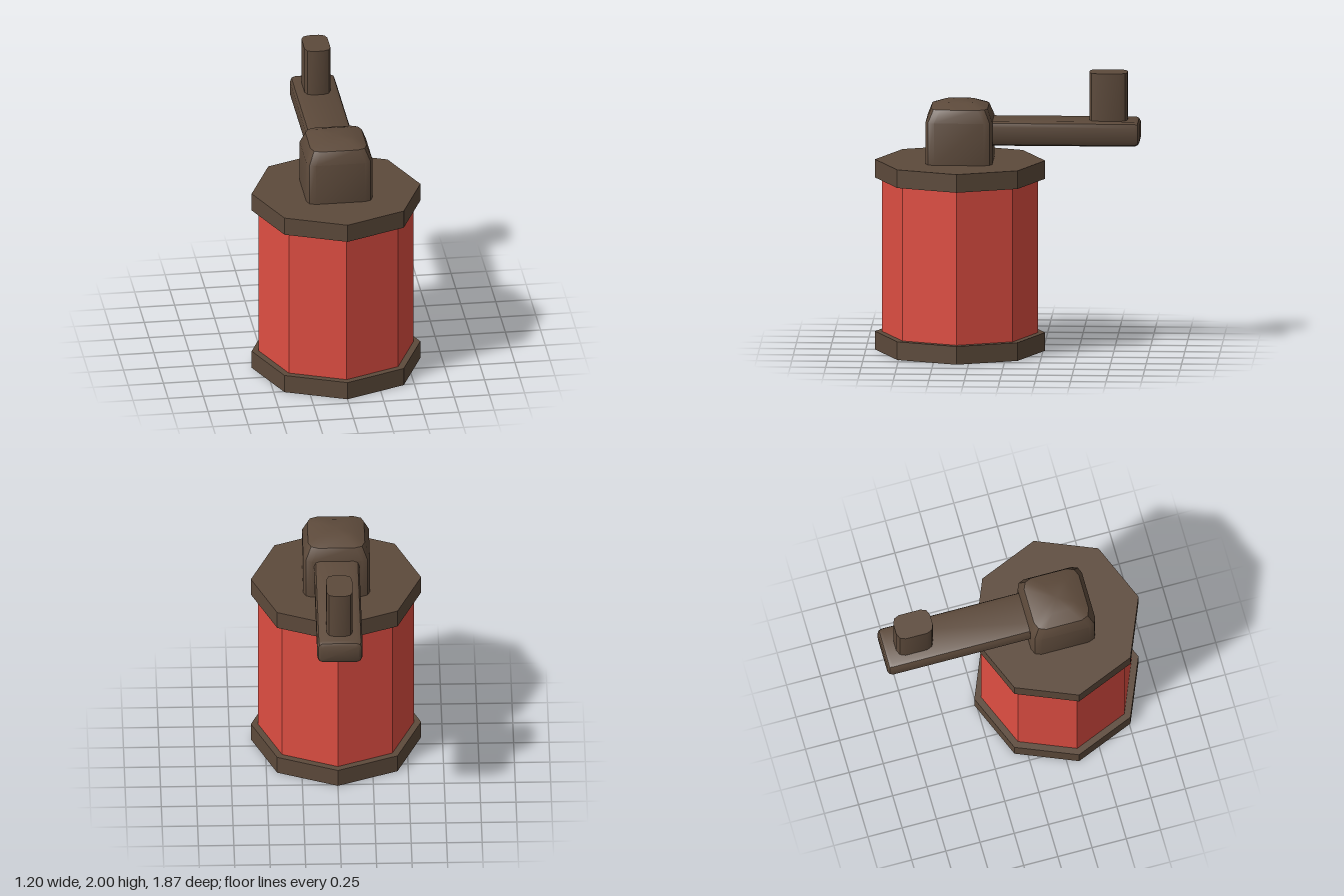
import * as THREE from 'three';
import { toCreasedNormals } from 'three/addons/utils/BufferGeometryUtils.js';

const brown = new THREE.MeshStandardMaterial({ color: 0x5d4a3b });
const red = new THREE.MeshStandardMaterial({ color: 0xdf4e42 });
const AXIS_Z = 0.335; // centre of the drum

// Stack of rounded rectangles along y; each level is [y, halfX, halfZ, cornerRadius]
function loft(levels) {
  const pos = [], idx = [], n = 12;
  for (const [y, hx, hz, r] of levels) {
    for (let k = 0; k < n; k++) {
      const q = Math.floor(k / 3);
      const a = (q + (k % 3) / 2) * Math.PI / 2;
      const sx = q === 0 || q === 3 ? 1 : -1, sz = q < 2 ? 1 : -1;
      pos.push(sx * (hx - r) + r * Math.cos(a), y, sz * (hz - r) + r * Math.sin(a));
    }
  }
  const last = (levels.length - 1) * n, bottom = levels.length * n, top = bottom + 1;
  pos.push(0, levels[0][0], 0, 0, levels[levels.length - 1][0], 0);
  for (let k = 0; k < n; k++) {
    const m = (k + 1) % n;
    for (let o = 0; o < last; o += n) {
      idx.push(o + k, o + n + k, o + m, o + m, o + n + k, o + n + m);
    }
    idx.push(bottom, k, m, top, last + m, last + k);
  }
  const g = new THREE.BufferGeometry();
  g.setAttribute('position', new THREE.Float32BufferAttribute(pos, 3));
  g.setIndex(idx);
  return toCreasedNormals(g, 0.6);
}

export function createModel() {
  const model = new THREE.Group();
  model.name = 'crankDrum';

  const add = (name, geometry, material, x, y, z) => {
    const mesh = new THREE.Mesh(geometry, material);
    mesh.name = name;
    mesh.position.set(x, y, z);
    model.add(mesh);
  };

  // Eight-sided drum with a wider plate at each end
  const drum = (name, r, y0, y1, material) => add(
    name, toCreasedNormals(new THREE.CylinderGeometry(r, r, y1 - y0, 8), 0.3),
    material, 0, (y0 + y1) / 2, AXIS_Z);
  drum('basePlate', 0.6, 0, 0.13, brown);
  drum('drumBody', 0.55, 0.13, 1.23, red);
  drum('topPlate', 0.6, 1.23, 1.36, brown);

  // Domed hub on the top plate
  add('hub', loft([
    [1.36, 0.235, 0.235, 0.06],
    [1.66, 0.235, 0.235, 0.06],
    [1.75, 0.2, 0.2, 0.07],
    [1.787, 0.11, 0.11, 0.05],
  ]), brown, 0, 0, AXIS_Z);

  // Crank arm, running backwards from inside the hub
  const arm = loft([
    [-0.25, 0.16, 0.0875, 0.04],
    [0.9, 0.16, 0.0875, 0.04],
    [0.923, 0.153, 0.078, 0.035],
    [0.935, 0.137, 0.058, 0.03],
  ]);
  arm.rotateX(-Math.PI / 2);
  add('crankArm', arm, brown, 0, 1.573, 0);

  // Upright grip at the end of the arm
  add('crankHandle', loft([
    [1.6, 0.092, 0.134, 0.055],
    [2, 0.092, 0.134, 0.055],
  ]), brown, 0, 0, -0.713);

  return model;
}
